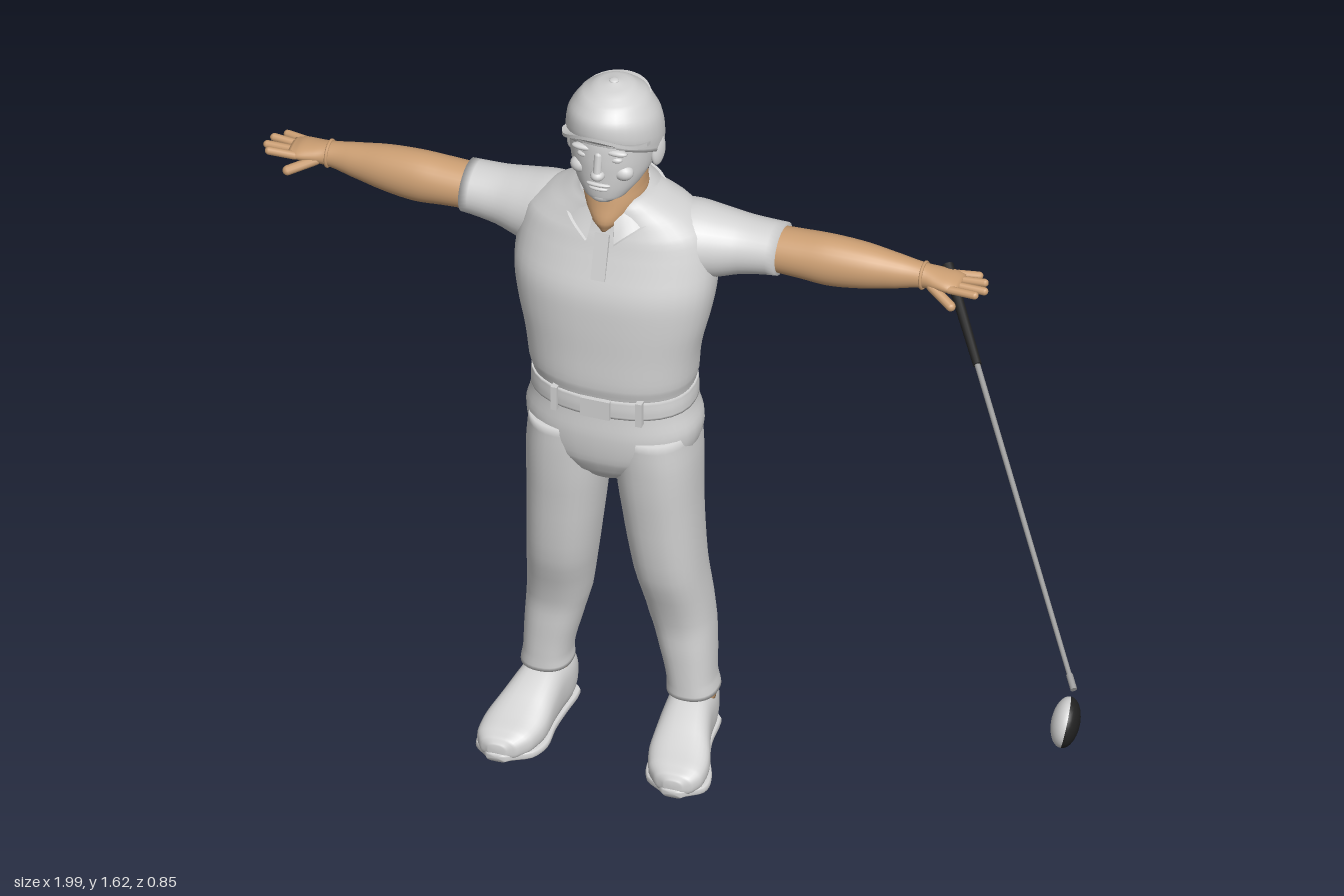
import * as THREE from 'three';

const mat = (name, color) => {
  const m = new THREE.MeshStandardMaterial({ color });
  m.name = name;
  return m;
};
const pale = mat('pale grey', 0xd3d3d3);
const skin = mat('tan skin', 0xcc9f73);
const black = mat('grip black', 0x222222);
const steel = mat('shaft grey', 0x9a9a9a);

// Axis mapping: t runs along the axis, a and b are the two cross directions.
const place = {
  y: (t, a, b) => [a, t, b],
  x: (t, a, b) => [t, a, b],
  z: (t, a, b) => [a, b, t],
};

// Smooth tube through rows [t, centreA, centreB, radiusA, radiusB], t ascending.
function loft(rows, axis = 'y', power = 2, seg = 32, sub = 4) {
  const fine = [];
  rows.forEach((p1, i) => {
    if (i === rows.length - 1) return fine.push(p1);
    const p0 = rows[Math.max(i - 1, 0)], p2 = rows[i + 1], p3 = rows[Math.min(i + 2, rows.length - 1)];
    for (let s = 0; s < sub; s++) {
      const u = s / sub;
      fine.push(p1.map((v, k) => k === 0 ? v + (p2[0] - v) * u : 0.5 * (2 * v + (p2[k] - p0[k]) * u
        + (2 * p0[k] - 5 * v + 4 * p2[k] - p3[k]) * u * u + (3 * v - p0[k] - 3 * p2[k] + p3[k]) * u ** 3)));
    }
  });
  const bend = c => Math.sign(c) * Math.abs(c) ** (2 / power);
  const sign = axis === 'y' ? 1 : -1;
  const pos = [], idx = [], n = fine.length;
  for (const [t, a, b, ra, rb] of fine)
    for (let j = 0; j < seg; j++) {
      const q = j / seg * Math.PI * 2;
      pos.push(...place[axis](t, a + ra * bend(Math.cos(q)), b + sign * rb * bend(Math.sin(q))));
    }
  for (const r of [fine[0], fine[n - 1]]) pos.push(...place[axis](r[0], r[1], r[2]));
  for (let j = 0; j < seg; j++) {
    const k = (j + 1) % seg;
    for (let i = 0; i < n - 1; i++) {
      const p = i * seg;
      idx.push(p + j, p + seg + j, p + k, p + k, p + seg + j, p + seg + k);
    }
    idx.push(n * seg, j, k, n * seg + 1, (n - 1) * seg + k, (n - 1) * seg + j);
  }
  const g = new THREE.BufferGeometry();
  g.setAttribute('position', new THREE.Float32BufferAttribute(pos, 3));
  g.setIndex(idx);
  g.computeVertexNormals();
  return g;
}

// Move every vertex by a rule.
function warp(g, rule) {
  const p = g.attributes.position;
  for (let i = 0; i < p.count; i++) p.setXYZ(i, ...rule(p.getX(i), p.getY(i), p.getZ(i)));
  g.computeVertexNormals();
  return g;
}

function mirror(g) {
  const m = g.clone().scale(-1, 1, 1), ix = m.index.array;
  for (let i = 0; i < ix.length; i += 3) [ix[i], ix[i + 1]] = [ix[i + 1], ix[i]];
  return m;
}

// Tapered rod or rounded digit between two points.
function rod(a, b, r0, r1, round = false) {
  const A = new THREE.Vector3(...a), B = new THREE.Vector3(...b), L = A.distanceTo(B);
  const g = round ? new THREE.CapsuleGeometry(r0, L, 4, 10) : new THREE.CylinderGeometry(r1, r0, L, 12);
  g.applyQuaternion(new THREE.Quaternion().setFromUnitVectors(new THREE.Vector3(0, 1, 0), B.clone().sub(A).normalize()));
  const c = A.add(B).multiplyScalar(0.5);
  return g.translate(c.x, c.y, c.z);
}
const ball = (x, y, z, rx, ry, rz) => new THREE.SphereGeometry(1, 20, 14).scale(rx, ry, rz).translate(x, y, z);
const box = (x, y, z, w, h, d, tilt = 0) => new THREE.BoxGeometry(w, h, d).rotateX(tilt).translate(x, y, z);

export function createModel() {
  const model = new THREE.Group(), body = new THREE.Group();
  model.name = 'golfer';
  body.name = 'body';
  body.position.x = -0.225;
  model.add(body);
  const add = (name, g, m, parent = body) => {
    const mesh = new THREE.Mesh(g, m);
    mesh.name = name;
    parent.add(mesh);
  };
  const pair = (name, g, m) => {
    add('left' + name, g, m);
    add('right' + name, mirror(g), m);
  };

  // Shirt
  add('shirt', loft([
    [0.895, 0, -0.288, 0.166, 0.114], [0.93, 0, -0.284, 0.174, 0.118], [1.0, 0, -0.28, 0.182, 0.114],
    [1.08, 0, -0.286, 0.2, 0.12], [1.15, 0, -0.295, 0.21, 0.124], [1.22, 0, -0.31, 0.205, 0.116],
    [1.27, 0, -0.315, 0.19, 0.105], [1.305, 0, -0.315, 0.15, 0.094], [1.335, 0, -0.308, 0.1, 0.082],
    [1.355, 0, -0.3, 0.07, 0.07]], 'y', 2.3, 40), pale);
  add('placket', box(0, 1.235, -0.197, 0.03, 0.1, 0.008, -0.27), pale);
  pair('Sleeve', loft([
    [0.09, 1.235, -0.33, 0.07, 0.08], [0.15, 1.228, -0.335, 0.078, 0.085], [0.2, 1.224, -0.342, 0.073, 0.077],
    [0.26, 1.227, -0.348, 0.06, 0.065], [0.335, 1.231, -0.35, 0.053, 0.06]], 'x'), pale);

  // Collar: a strip bent round the neck, with pointed ends at the front
  add('collar', warp(new THREE.BoxGeometry(2, 1, 1, 40, 3, 1), (u, v, w) => {
    const q = u * (Math.PI - 0.3), drop = 0.5 - v, r = 0.07 + 0.03 * drop + 0.006 * w;
    const lift = 0.02 * Math.cos(q);
    return [r * Math.sin(q), 1.357 + lift - drop * (0.035 + 0.03 * Math.abs(u) ** 8),
      -0.297 - (r + 0.008) * Math.cos(q)];
  }), pale);

  // Neck, widening from the open collar
  add('neck', loft([
    [1.285, 0, -0.235, 0.012, 0.02], [1.31, 0, -0.25, 0.035, 0.045], [1.345, 0, -0.29, 0.063, 0.077],
    [1.375, 0, -0.295, 0.063, 0.075], [1.42, 0, -0.3, 0.062, 0.07]]), skin);

  // Head and face
  add('head', loft([
    [1.373, 0, -0.222, 0.025, 0.026], [1.385, 0, -0.235, 0.046, 0.047], [1.41, 0, -0.262, 0.068, 0.078],
    [1.44, 0, -0.28, 0.083, 0.098], [1.48, 0, -0.284, 0.089, 0.103], [1.53, 0, -0.288, 0.09, 0.102],
    [1.58, 0, -0.29, 0.07, 0.08]]), pale);
  add('nose', ball(0, 1.45, -0.181, 0.015, 0.012, 0.016), pale);
  add('noseBridge', rod([0, 1.495, -0.186], [0, 1.455, -0.178], 0.009, 0.009, true), pale);
  add('upperLip', ball(0, 1.424, -0.186, 0.026, 0.005, 0.008), pale);
  add('lowerLip', ball(0, 1.413, -0.188, 0.021, 0.005, 0.008), pale);
  add('chin', ball(0, 1.388, -0.203, 0.024, 0.016, 0.016), pale);
  pair('Brow', ball(0.035, 1.505, -0.193, 0.024, 0.007, 0.01), pale);
  pair('Eye', ball(0.034, 1.487, -0.195, 0.014, 0.007, 0.009), pale);
  pair('Cheek', ball(0.045, 1.45, -0.208, 0.022, 0.018, 0.018), pale);
  pair('Ear', ball(0, 0, 0, 0.01, 0.034, 0.021).rotateY(-0.3).rotateX(-0.2).translate(0.092, 1.463, -0.287), pale);

  // Cap: dome sheared so its rim falls to the back, and a bowed brim
  add('cap', warp(loft([
    [1.46, 0, -0.29, 0.096, 0.106], [1.5, 0, -0.29, 0.099, 0.109], [1.545, 0, -0.288, 0.093, 0.102],
    [1.585, 0, -0.285, 0.07, 0.078], [1.607, 0, -0.283, 0.04, 0.045], [1.617, 0, -0.282, 0.006, 0.006]]),
  (x, y, z) => [x, y + 0.52 * (z + 0.29) * (1 - (y - 1.46) / 0.157), z]), pale);
  add('capButton', ball(0, 1.616, -0.282, 0.01, 0.004, 0.01), pale);
  add('brim', warp(new THREE.BoxGeometry(2, 1, 1, 20, 1, 5), (u, v, w) => {
    const s = w + 0.5, inner = -0.292 + 0.1 * Math.sqrt(1.05 - u * u * 0.95);
    const outer = -0.139 - 0.055 * u * u - 0.03 * u ** 8;
    return [0.09 * u, 1.522 - 0.02 * u * u + s * (0.044 - 0.03 * u * u) + 0.008 * v, inner + (outer - inner) * s];
  }), pale);

  // Arms and hands
  pair('Arm', loft([
    [0.3, 1.23, -0.35, 0.046, 0.05], [0.38, 1.23, -0.35, 0.05, 0.051], [0.44, 1.229, -0.35, 0.054, 0.05],
    [0.51, 1.229, -0.354, 0.048, 0.045], [0.58, 1.229, -0.358, 0.036, 0.034], [0.63, 1.23, -0.36, 0.026, 0.027],
    [0.66, 1.23, -0.36, 0.02, 0.032], [0.69, 1.229, -0.36, 0.016, 0.036], [0.712, 1.228, -0.36, 0.009, 0.032]], 'x'), skin);
  [[-0.39, -0.4, 0.735], [-0.371, -0.375, 0.755], [-0.351, -0.353, 0.762], [-0.332, -0.328, 0.75]].forEach(([z0, z1, x], i) =>
    pair('Finger' + (i + 1), rod([0.695, 1.228, z0], [x, 1.226 + 0.004 * (i % 2), z1], 0.0085, 0.0085, true), skin));
  pair('Thumb', rod([0.655, 1.222, -0.338], [0.705, 1.203, -0.312], 0.0105, 0.0105, true), skin);
  pair('WristBand', new THREE.TorusGeometry(0.027, 0.0035, 8, 28).rotateY(Math.PI / 2).translate(0.632, 1.23, -0.36), skin);

  // Trousers and belt
  add('trouserSeat', loft([
    [0.675, 0, -0.288, 0.06, 0.07], [0.7, 0, -0.288, 0.11, 0.092], [0.74, 0, -0.289, 0.165, 0.112],
    [0.8, 0, -0.29, 0.183, 0.12], [0.85, 0, -0.289, 0.172, 0.116], [0.905, 0, -0.288, 0.164, 0.112]], 'y', 2.3), pale);
  pair('TrouserLeg', loft([
    [0.125, 0.155, -0.324, 0.053, 0.06], [0.16, 0.152, -0.322, 0.05, 0.058], [0.23, 0.143, -0.326, 0.057, 0.064],
    [0.31, 0.13, -0.327, 0.065, 0.071], [0.44, 0.114, -0.302, 0.071, 0.086], [0.6, 0.101, -0.29, 0.079, 0.096],
    [0.72, 0.094, -0.289, 0.085, 0.108], [0.8, 0.088, -0.29, 0.085, 0.112]], 'y', 2.3), pale);
  add('belt', loft([[0.86, 0, -0.288, 0.172, 0.119], [0.88, 0, -0.288, 0.172, 0.12], [0.902, 0, -0.288, 0.17, 0.119]], 'y', 2.3), pale);
  add('buckle', box(0, 0.881, -0.168, 0.062, 0.044, 0.01), pale);
  pair('BeltLoop', box(0.09, 0.88, -0.181, 0.013, 0.056, 0.02), pale);
  add('backBeltLoop', box(0, 0.88, -0.408, 0.013, 0.056, 0.012), pale);

  // Ankles and shoes
  pair('Ankle', loft([[0.1, 0.155, -0.325, 0.044, 0.05], [0.14, 0.155, -0.325, 0.044, 0.05]]), skin);
  pair('Shoe', loft([
    [-0.395, 0.15, 0.06, 0.02, 0.03], [-0.38, 0.15, 0.064, 0.04, 0.054], [-0.34, 0.152, 0.066, 0.049, 0.064],
    [-0.285, 0.157, 0.066, 0.051, 0.064], [-0.235, 0.164, 0.058, 0.057, 0.054], [-0.18, 0.174, 0.044, 0.065, 0.04],
    [-0.135, 0.182, 0.036, 0.058, 0.031], [-0.11, 0.186, 0.032, 0.04, 0.024], [-0.1, 0.187, 0.03, 0.018, 0.014]], 'z', 2.6), pale);
  pair('Sole', loft([
    [-0.398, 0.15, 0.011, 0.025, 0.011], [-0.375, 0.15, 0.011, 0.046, 0.011], [-0.3, 0.155, 0.012, 0.048, 0.01],
    [-0.24, 0.164, 0.012, 0.055, 0.011], [-0.18, 0.174, 0.011, 0.069, 0.011], [-0.135, 0.182, 0.012, 0.061, 0.011],
    [-0.098, 0.187, 0.016, 0.02, 0.009]], 'z', 4), pale);

  // Golf club, running forward and down from the left hand
  const club = new THREE.Group();
  club.name = 'club';
  model.add(club);
  const top = [0.445, 1.24, -0.395], end = [0.972, 0.822, 0.347];
  const at = t => top.map((v, i) => v + (end[i] - v) * t);
  add('grip', rod(top, at(0.235), 0.012, 0.009), black, club);
  add('shaft', rod(at(0.23), end, 0.006, 0.005), steel, club);
  add('ferrule', rod(at(0.965), at(1), 0.007, 0.007), steel, club);
  const turn = new THREE.Quaternion().setFromUnitVectors(new THREE.Vector3(0, 1, 0), new THREE.Vector3(0.94, -0.2, -0.26).normalize());
  [['clubHeadFace', 0, black], ['clubHeadShell', Math.PI / 2, pale]].forEach(([name, start, m]) =>
    add(name, new THREE.SphereGeometry(1, 28, 10, 0, Math.PI * 2, start, Math.PI / 2)
      .scale(0.053, 0.029, 0.053).applyQuaternion(turn).translate(0.965, 0.76, 0.377), m, club));
  return model;
}
